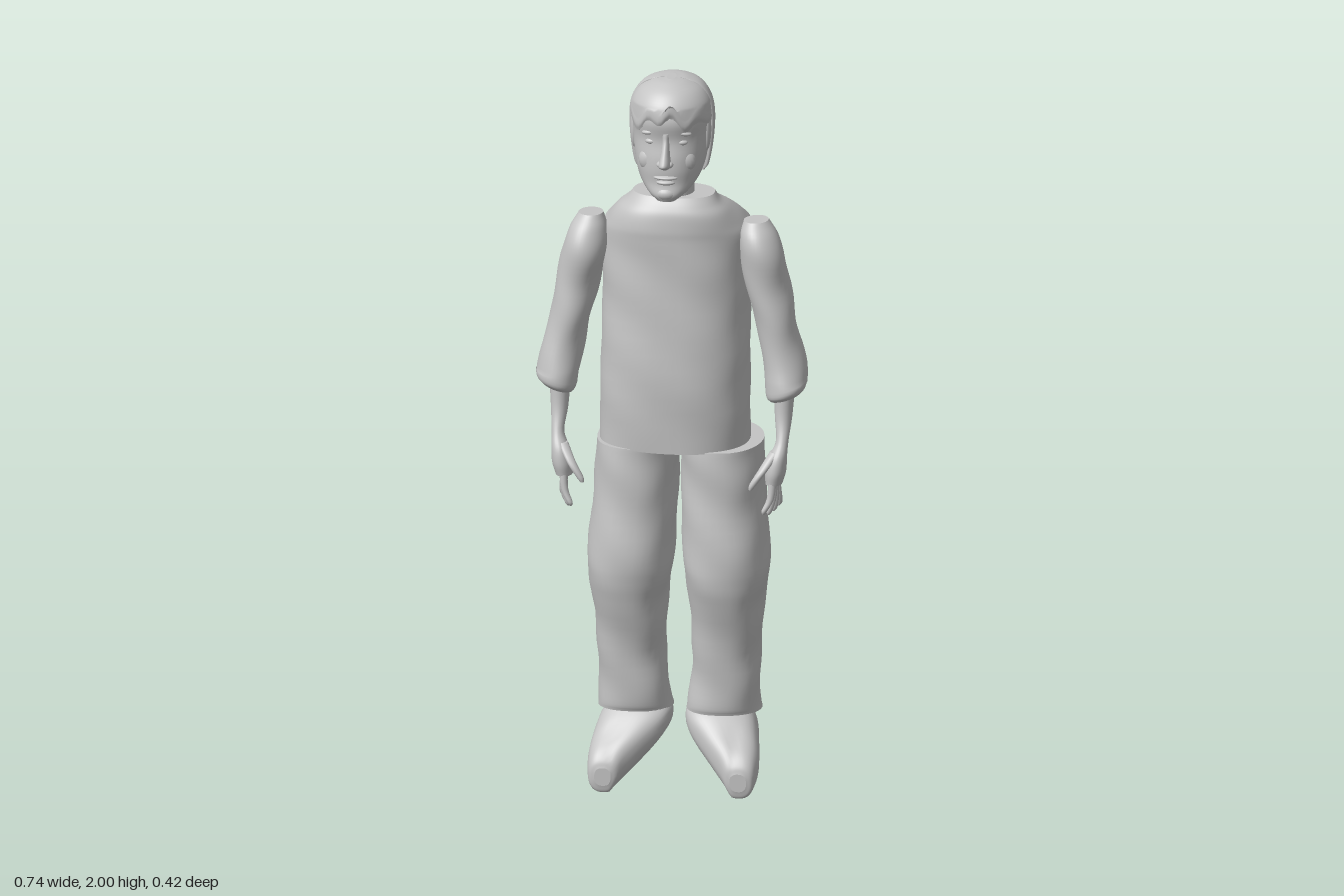
import * as THREE from 'three';

const grey = new THREE.MeshStandardMaterial({ color: 0xc4c4c4 });
grey.name = 'plainGrey';

// Smooth closed body through rings [y, xMin, xMax, zMin, zMax], listed upwards.
// power squares off the outline, side -1 mirrors it, bend(p) moves each vertex.
function loft(rings, { power = 2, side = 1, steps = 5, seg = 36, bend } = {}) {
  const centre = new THREE.CatmullRomCurve3(
    rings.map(([y, a, b, c, d]) => new THREE.Vector3(side * (a + b) / 2, y, (c + d) / 2)), false, 'catmullrom');
  const radius = new THREE.CatmullRomCurve3(
    rings.map(([, a, b, c, d]) => new THREE.Vector3((b - a) / 2, 0, (d - c) / 2)), false, 'catmullrom');
  const rows = (rings.length - 1) * steps;
  const pos = [], index = [];
  const p = new THREE.Vector3();
  const soft = v => Math.sign(v) * Math.abs(v) ** (2 / power);
  const push = (x, y, z) => {
    p.set(x, y, z);
    if (bend) bend(p);
    pos.push(p.x, p.y, p.z);
  };
  const row = i => {
    const c = centre.getPoint(i / rows), r = radius.getPoint(i / rows);
    for (let j = 0; j < seg; j++) {
      const a = j / seg * Math.PI * 2;
      push(c.x + r.x * soft(Math.cos(a)), c.y, c.z + r.z * soft(Math.sin(a)));
    }
    return c;
  };
  for (let i = 0; i <= rows; i++) row(i);
  for (let i = 0; i < rows; i++) {
    for (let j = 0; j < seg; j++) {
      const k = (j + 1) % seg, a = i * seg, b = a + seg;
      index.push(a + j, b + j, a + k, a + k, b + j, b + k);
    }
  }
  // end caps with their own vertices, for a sharp rim
  for (const end of [0, rows]) {
    const start = pos.length / 3;
    const c = row(end);
    push(c.x, c.y, c.z);
    for (let j = 0; j < seg; j++) {
      const k = (j + 1) % seg;
      index.push(start + seg, start + (end ? k : j), start + (end ? j : k));
    }
  }
  const g = new THREE.BufferGeometry();
  g.setAttribute('position', new THREE.Float32BufferAttribute(pos, 3));
  g.setIndex(index);
  g.computeVertexNormals();
  return g;
}

function add(parent, name, geometry) {
  const m = new THREE.Mesh(geometry, grey);
  m.name = name;
  parent.add(m);
  return m;
}

function ball(parent, name, x, y, z, rx, ry, rz) {
  const m = add(parent, name, new THREE.SphereGeometry(1, 20, 14));
  m.position.set(x, y, z);
  m.scale.set(rx, ry, rz);
  return m;
}

// gentle cloth folds
const folds = amount => p => {
  p.z += amount * Math.sin(p.y * 34 + p.x * 22);
  p.x += amount * 0.6 * Math.sin(p.y * 41 + p.z * 30);
};

function buildHead() {
  const head = new THREE.Group();
  head.name = 'head';
  add(head, 'neck', loft([[1.6, -.06, .06, -.025, .095], [1.76, -.06, .06, -.025, .095]]));
  add(head, 'face', loft([
    [1.682, -.025, .025, .125, .168], [1.70, -.052, .052, .06, .175], [1.73, -.078, .078, 0, .168],
    [1.765, -.092, .092, -.045, .17], [1.80, -.099, .099, -.07, .168], [1.85, -.104, .104, -.083, .16],
    [1.90, -.106, .106, -.085, .168], [1.94, -.1, .1, -.075, .155], [1.975, -.074, .074, -.045, .125],
    [1.993, -.03, .03, 0, .08]], { power: 2.15 }));

  // hair: a shell cut straight at the ears, and a ragged front fringe
  add(head, 'backHair', loft([
    [1.74, -.09, .09, -.062, .16], [1.76, -.102, .102, -.08, .17], [1.82, -.112, .112, -.093, .175],
    [1.89, -.116, .116, -.095, .18], [1.94, -.108, .108, -.085, .17], [1.978, -.083, .083, -.058, .14],
    [1.996, -.045, .045, -.015, .1], [2.0, -.012, .012, .02, .07]],
  { bend: p => { p.z = Math.min(p.z, .055); } }));
  add(head, 'fringe', loft([
    [1.895, -.108, .108, -.06, .166], [1.915, -.11, .11, -.06, .172], [1.945, -.104, .104, -.06, .166],
    [1.975, -.082, .082, -.04, .14], [1.994, -.045, .045, 0, .105], [2.0, -.012, .012, .03, .075]],
  { seg: 64, bend: p => {
    if (p.y < 1.935) p.y += .014 * Math.sin(p.x * 95) + .012 * Math.cos(p.x * 40);
  } }));
  for (const s of [1, -1]) {
    ball(head, 'sideburn', s * .098, 1.86, .065, .012, .06, .018);
    ball(head, 'eye', s * .04, 1.846, .143, .018, .009, .012);
    ball(head, 'brow', s * .042, 1.872, .141, .026, .008, .015).rotation.z = -s * .12;
    ball(head, 'cheek', s * .045, 1.79, .13, .033, .035, .024);
    ball(head, 'nostril', s * .012, 1.791, .176, .011, .009, .014);
  }
  add(head, 'nose', loft([
    [1.776, -.008, .008, .15, .182], [1.786, -.017, .017, .14, .205], [1.796, -.016, .016, .14, .213],
    [1.82, -.012, .012, .14, .193], [1.85, -.01, .01, .13, .172], [1.872, -.012, .012, .13, .166]], { seg: 20 }));
  ball(head, 'upperLip', 0, 1.75, .16, .034, .007, .019);
  ball(head, 'lowerLip', 0, 1.736, .159, .027, .008, .018);
  ball(head, 'chin', 0, 1.703, .155, .03, .02, .023);
  head.position.x = -.005;
  return head;
}

function buildArm(side) {
  const arm = new THREE.Group();
  arm.name = side > 0 ? 'leftArm' : 'rightArm';
  add(arm, 'sleeve', loft([
    [1.115, .268, .352, .03, .125], [1.135, .258, .367, .015, .14], [1.2, .246, .364, -.015, .128],
    [1.3, .228, .337, -.022, .118], [1.4, .202, .321, -.026, .114], [1.5, .182, .302, -.022, .12],
    [1.56, .182, .283, -.012, .105], [1.6, .192, .258, .0, .075]],
  { side, bend: p => {
    folds(.003)(p);
    if (p.y < 1.15) p.y += (p.x * side - .31) * .3; // slanted cuff
  } }));
  add(arm, 'forearm', loft([
    [.885, .262, .308, .095, .165], [.92, .262, .318, .09, .17], [.96, .272, .32, .095, .162],
    [1.0, .288, .322, .09, .135], [1.06, .281, .328, .055, .112], [1.15, .275, .335, .035, .105]], { side, seg: 24 }));

  // fingers fan out from front to back, the thumb reaches inwards
  for (let i = 0; i < 4; i++) {
    const z0 = .152 - i * .015, z1 = .168 - i * .025;
    const x1 = .262 + i * .01, tip = .795 + Math.abs(i - 1.3) * .008, r = .0095;
    const ring = (y, x, z, k) => [y, x - r * k, x + r * k, z - r * k, z + r * k];
    add(arm, 'finger', loft([
      ring(tip, x1, z1, .35), ring(tip + .012, x1 + .003, z1, .85),
      ring(.85, .28 + i * .004, (z0 + z1) / 2, 1.05), ring(.91, .285, z0, 1.2)], { side, seg: 12, steps: 3 }));
  }
  add(arm, 'thumb', loft([
    [.88, .224, .234, .18, .19], [.895, .226, .246, .173, .192], [.93, .247, .272, .16, .185],
    [.975, .275, .305, .115, .15]], { side, seg: 14, steps: 3 }));
  return arm;
}

function buildLeg(side) {
  const leg = new THREE.Group();
  leg.name = side > 0 ? 'leftLeg' : 'rightLeg';
  add(leg, 'trouserLeg', loft([
    [.2, .012, .215, -.08, .092], [.23, .018, .212, -.082, .1], [.35, .03, .214, -.08, .105],
    [.5, .024, .225, -.09, .135], [.58, .014, .237, -.1, .157], [.65, .006, .24, -.11, .16],
    [.8, .0, .227, -.135, .145], [.9, -.002, .222, -.148, .142], [.962, -.003, .218, -.15, .14]],
  { power: 2.2, side, bend: folds(.003) }));

  // shoe: sections run heel to toe, then the inner edge is lifted
  const shoe = loft([
    [-.092, .075, .125, -.13, -.06], [-.075, .045, .165, -.18, -.025], [-.03, .018, .2, -.225, 0],
    [.03, .012, .212, -.23, 0], [.08, .03, .22, -.195, 0], [.125, .075, .225, -.15, 0],
    [.165, .12, .222, -.115, 0], [.185, .14, .215, -.09, .0], [.192, .155, .2, -.07, -.02]],
  { power: 2.5, side });
  shoe.rotateX(Math.PI / 2);
  const p = shoe.attributes.position;
  for (let i = 0; i < p.count; i++) {
    const y = p.getY(i);
    const lift = Math.max(0, .16 - side * p.getX(i)) * .85;
    p.setY(i, y + lift * Math.max(0, 1 - y / .24));
  }
  shoe.computeVertexNormals();
  add(leg, 'shoe', shoe);
  leg.position.x = side > 0 ? .018 : .005;
  return leg;
}

export function createModel() {
  const model = new THREE.Group();
  model.name = 'standingFigure';
  add(model, 'torso', loft([
    [.958, -.205, .2, -.152, .15], [1.15, -.203, .199, -.165, .156], [1.35, -.2, .198, -.183, .142],
    [1.48, -.203, .201, -.2, .136], [1.55, -.203, .201, -.21, .136], [1.585, -.185, .183, -.175, .138],
    [1.625, -.155, .153, -.105, .134], [1.65, -.128, .126, -.06, .122], [1.672, -.11, .11, -.035, .105]],
  { power: 2.4, seg: 56, bend: folds(.002) }));
  model.add(buildHead());
  for (const side of [1, -1]) model.add(buildArm(side), buildLeg(side));
  return model;
}
